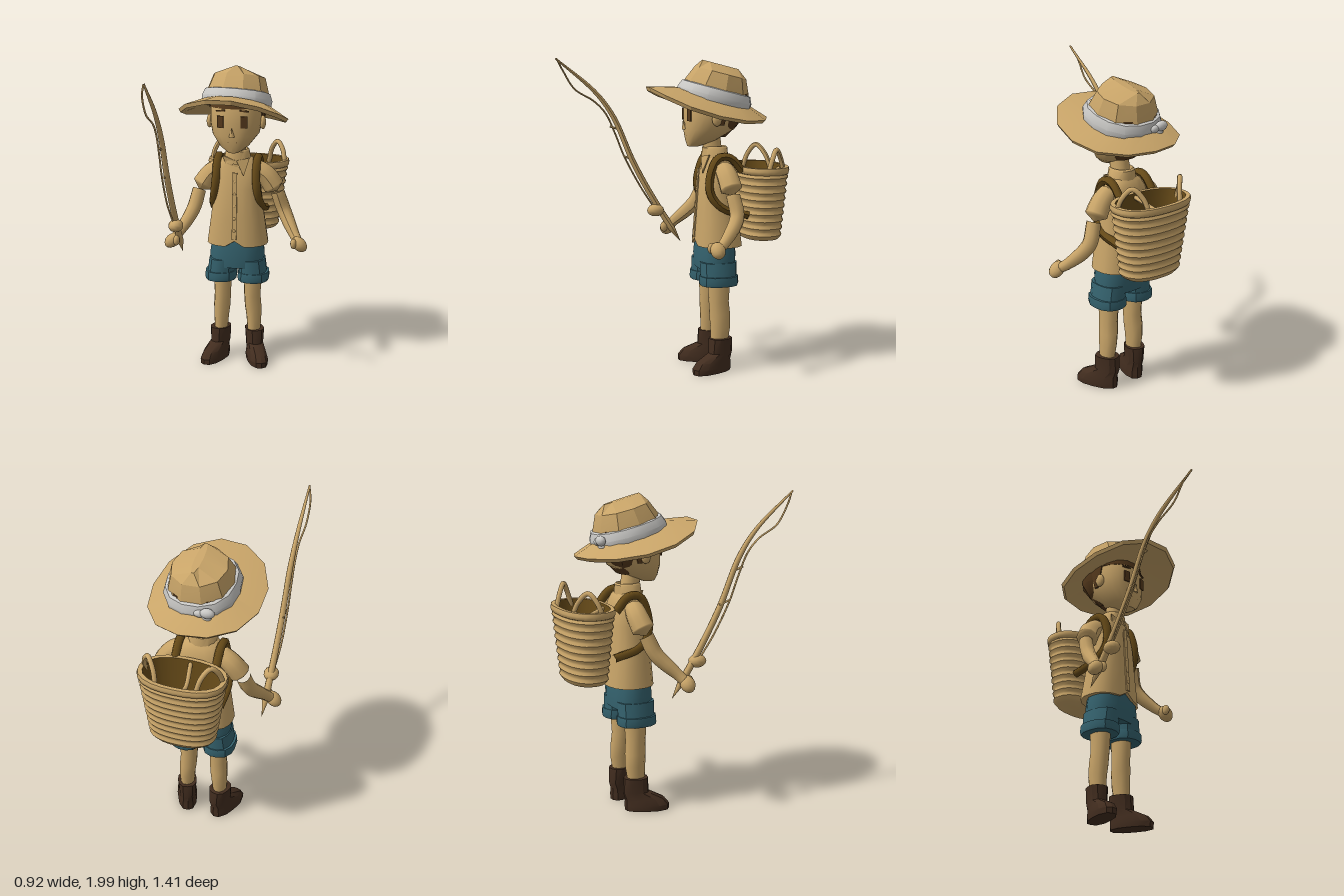
import * as THREE from 'three';
import { toCreasedNormals } from 'three/addons/utils/BufferGeometryUtils.js';

const mat = (name, color) => {
  const m = new THREE.MeshStandardMaterial({ color });
  m.name = name;
  return m;
};

// Skin through rings [y, rx, rz, cx, cz]; a ring of radius 0 closes an end
function loft(rings, n = 16, p = 2.3, crease = 0.6) {
  const at = ([y, rx, rz, cx = 0, cz = 0], j) => {
    const a = (j / n) * Math.PI * 2, c = Math.cos(a), s = Math.sin(a);
    const k = Math.pow(Math.abs(c) ** p + Math.abs(s) ** p, -1 / p);
    return [cx + rx * c * k, y, cz + rz * s * k];
  };
  const v = [];
  for (let i = 0; i < rings.length - 1; i++) for (let j = 0; j < n; j++) {
    const lo = rings[i], hi = rings[i + 1];
    if (lo[1] > 0) v.push(...at(lo, j), ...at(hi, j), ...at(lo, j + 1));
    if (hi[1] > 0) v.push(...at(lo, j + 1), ...at(hi, j), ...at(hi, j + 1));
  }
  const g = new THREE.BufferGeometry();
  g.setAttribute('position', new THREE.Float32BufferAttribute(v, 3));
  return toCreasedNormals(g, crease);
}

// Close both ends of a ring list
const closed = r => [[r[0][0], 0, 0, r[0][3], r[0][4]], ...r, [r.at(-1)[0], 0, 0, r.at(-1)[3], r.at(-1)[4]]];

// Tube along points whose radius follows a list
function limb(points, radii, sides = 10, segs = 24) {
  const curve = new THREE.CatmullRomCurve3(points.map(q => new THREE.Vector3(...q)));
  const g = new THREE.TubeGeometry(curve, segs, 1, sides, false);
  const pos = g.attributes.position, q = new THREE.Vector3();
  for (let i = 0; i < pos.count; i++) {
    const t = Math.floor(i / (sides + 1)) / segs, c = curve.getPointAt(t);
    const f = t * (radii.length - 1), k = Math.min(Math.floor(f), radii.length - 2);
    q.fromBufferAttribute(pos, i).sub(c).multiplyScalar(THREE.MathUtils.lerp(radii[k], radii[k + 1], f - k)).add(c);
    pos.setXYZ(i, q.x, q.y, q.z);
  }
  g.computeVertexNormals();
  return g;
}

export function createModel() {
  const tan = mat('tan', 0xc8a468), grey = mat('light grey', 0xc9c8c5), teal = mat('teal', 0x35636f);
  const boot = mat('boot brown', 0x422d1f), olive = mat('olive brown', 0x664a18), dark = mat('hair brown', 0x55391c);
  const model = new THREE.Group();
  const add = (name, geo, m, pos = [0, 0, 0], parent = model) => {
    const mesh = new THREE.Mesh(geo, m);
    mesh.name = name;
    mesh.position.set(...pos);
    parent.add(mesh);
    return mesh;
  };
  const ball = (name, r, pos, scale, m = tan, parent = model) => {
    const b = add(name, new THREE.SphereGeometry(r, 12, 8), m, pos, parent);
    b.scale.set(...scale);
    return b;
  };
  const X = -0.017; // body centre line

  // Hat, tipped back
  const hat = new THREE.Group();
  hat.name = 'hat';
  hat.position.set(-0.027, 1.725, -0.2);
  hat.rotation.set(-0.25, 0, -0.05);
  model.add(hat);
  const brim = loft([[0.02, 0, 0], [0.02, 0.2, 0.22], [-0.02, 0.335, 0.385], [0.005, 0.348, 0.4], [0.045, 0.22, 0.25, 0, -0.02], [0.06, 0, 0]], 13, 2.15, 0.25);
  const bp = brim.attributes.position;
  for (let i = 0; i < bp.count; i++) bp.setY(i, bp.getY(i) - 0.055 * (bp.getX(i) / 0.35) ** 2);
  add('hatBrim', brim, tan, [0, 0, 0], hat);
  add('hatCrown', loft([[0.02, 0.215, 0.23, 0.005, -0.035], [0.11, 0.197, 0.205, 0.005, -0.035],
    [0.2, 0.168, 0.165, 0.005, -0.035], [0.25, 0.025, 0.125, 0.005, -0.02], [0.25, 0, 0, 0.005, -0.02]], 10, 2.2, 0.2), tan, [0, 0, 0], hat);
  add('hatBand', loft([[0.02, 0.222, 0.238, 0.005, -0.035], [0.055, 0.226, 0.24, 0.005, -0.035],
    [0.1, 0.208, 0.22, 0.005, -0.035], [0.105, 0.19, 0.2, 0.005, -0.035]], 14), grey, [0, 0, 0], hat);
  for (const [x, y, s] of [[-0.1, 0.07, 1], [-0.05, 0.06, 0.75], [-0.09, 0.03, 0.7]])
    ball('bandKnot', 0.04 * s, [x, y, -0.265], [1.1, 0.8, 0.7], grey, hat);

  // Head
  const HX = -0.02;
  add('head', loft(closed([[1.452, 0.035, 0.04, HX, -0.11], [1.49, 0.092, 0.095, HX, -0.155], [1.56, 0.148, 0.16, HX, -0.21],
    [1.64, 0.165, 0.18, HX, -0.232], [1.74, 0.165, 0.18, HX, -0.235], [1.82, 0.14, 0.15, HX, -0.24]]), 24, 2.4, 0.9), tan);
  add('neck', loft(closed([[1.34, 0.068, 0.07, X, -0.245], [1.42, 0.056, 0.058, X, -0.235], [1.53, 0.056, 0.06, X, -0.22]])), tan);
  const nose = add('nose', new THREE.ConeGeometry(0.02, 0.06, 5), tan, [HX, 1.59, -0.046]);
  nose.rotation.x = 0.2;
  for (const s of [-1, 1]) {
    const eye = add('eye', new THREE.BoxGeometry(0.042, 0.075, 0.008), dark, [HX + s * 0.075, 1.652, -0.06]);
    eye.rotation.y = s * 0.25;
    const brow = add('eyebrow', new THREE.BoxGeometry(0.06, 0.01, 0.008), dark, [HX + s * 0.075, 1.722, -0.063]);
    brow.rotation.set(0, s * 0.25, -s * 0.1);
    ball('ear', 0.04, [HX + s * 0.172, 1.63, -0.21], [0.5, 1.1, 0.8]);
    add('sideburn', loft(closed([[1.59, 0.008, 0.015], [1.66, 0.012, 0.035], [1.78, 0.012, 0.06]]), 6), dark, [HX + s * 0.164, 0, -0.245]);
  }
  add('mouth', new THREE.BoxGeometry(0.06, 0.006, 0.006), dark, [HX, 1.523, -0.06]);
  add('backHair', loft(closed([[1.51, 0.07, 0.03, HX, -0.285], [1.58, 0.145, 0.075, HX, -0.305],
    [1.66, 0.176, 0.13, HX, -0.31], [1.78, 0.178, 0.14, HX, -0.31]]), 12), dark);
  add('fringe', loft(closed([[1.735, 0.171, 0.186, HX, -0.235], [1.82, 0.165, 0.17, HX, -0.24]]), 16), dark);

  // Shirt with a notched front hem
  const shirt = loft(closed([[0.82, 0.2, 0.15, X, -0.265], [1.0, 0.175, 0.133, X, -0.26], [1.2, 0.15, 0.118, X, -0.257],
    [1.32, 0.15, 0.095, X, -0.265], [1.375, 0.115, 0.078, X, -0.262], [1.41, 0.06, 0.06, X, -0.25]]), 20, 2.5);
  const sp = shirt.attributes.position;
  for (let i = 0; i < sp.count; i++) {
    const near = 1 - Math.abs(sp.getX(i) - X) / 0.06;
    if (sp.getY(i) < 0.83 && sp.getZ(i) > -0.2 && near > 0) sp.setY(i, 0.82 + 0.04 * near);
  }
  add('shirt', shirt, tan);
  const placket = add('placket', new THREE.BoxGeometry(0.03, 0.44, 0.008), tan, [X, 1.09, -0.126]);
  placket.rotation.x = -0.07;
  for (let i = 0; i < 5; i++) ball('button', 0.01, [X, 0.93 + i * 0.08, -0.112 - i * 0.006], [1, 1, 0.5]);
  add('collarStand', loft([[1.36, 0.095, 0.085, X, -0.25], [1.44, 0.075, 0.08, X, -0.25], [1.45, 0.066, 0.07, X, -0.25], [1.39, 0.06, 0.06, X, -0.25]], 14), tan);
  const flap = new THREE.Shape([[0, 0], [0.085, 0.02], [0.05, -0.1]].map(q => new THREE.Vector2(...q)));
  for (const s of [-1, 1]) {
    const f = add('collarFlap', new THREE.ExtrudeGeometry(flap, { depth: 0.009, bevelEnabled: false }), tan,
      [X + (s > 0 ? 0.005 : -0.005), 1.385, -0.163]);
    f.rotation.set(-0.2, s > 0 ? 0.3 : Math.PI - 0.3, 0);
    if (s < 0) f.rotation.set(0.2, Math.PI - 0.3, 0);
  }

  // Arms: left hangs forward, right reaches to the rod
  const arms = [
    { s: 1, elbow: [0.285, 1.03, -0.3], wrist: [0.365, 0.9, -0.2], hand: [0.405, 0.855, -0.14] },
    { s: -1, elbow: [-0.3, 1.05, -0.2], wrist: [-0.37, 0.92, -0.08], hand: [-0.41, 0.87, -0.04] },
  ];
  for (const { s, elbow, wrist, hand } of arms) {
    const arm = new THREE.Group();
    arm.name = s > 0 ? 'leftArm' : 'rightArm';
    model.add(arm);
    const cuff = [X + s * 0.255, 1.165, s > 0 ? -0.29 : -0.25];
    add('sleeve', limb([[X + s * 0.09, 1.335, -0.265], [X + s * 0.18, 1.275, -0.275], cuff], [0, 0.058, 0.063, 0.066, 0.068, 0.07, 0]), tan, [0, 0, 0], arm);
    add('forearm', limb([cuff, elbow, wrist, hand], [0.045, 0.047, 0.046, 0.042, 0.034, 0.03]), tan, [0, 0, 0], arm);
    const palm = ball('hand', 0.05, hand, [0.85, 1.15, 0.95], tan, arm);
    palm.rotation.z = s * 0.8;
    ball('thumb', 0.026, [hand[0] - s * 0.035, hand[1] + 0.01, hand[2] + 0.03], [0.8, 1.3, 1], tan, arm);
  }

  // Shorts, legs and boots
  add('shortsHips', loft(closed([[0.67, 0.175, 0.118, X, -0.25], [0.76, 0.18, 0.125, X, -0.25], [0.87, 0.165, 0.115, X, -0.25]]), 16, 2.6), teal);
  for (const s of [-1, 1]) {
    const x = X + s * 0.108;
    add('shortsLeg', loft(closed([[0.59, 0.092, 0.115, x, -0.247], [0.72, 0.088, 0.118, x - s * 0.012, -0.247]]), 14, 2.5), teal);
    add('shortsCuff', loft(closed([[0.572, 0.1, 0.12, x, -0.247], [0.59, 0.104, 0.125, x, -0.247], [0.632, 0.102, 0.122, x, -0.247]]), 14, 2.5), teal);
    add('leg', loft(closed([[0.18, 0.042, 0.055, X + s * 0.112, -0.25], [0.3, 0.05, 0.066, X + s * 0.11, -0.258],
      [0.38, 0.056, 0.068, X + s * 0.105, -0.255], [0.46, 0.055, 0.065, X + s * 0.1, -0.25], [0.62, 0.062, 0.075, X + s * 0.1, -0.25]]), 10, 2, 0.9), tan);
    const b = add('boot', loft(closed([[0, 0.062, 0.14, 0, 0.07], [0.035, 0.066, 0.142, 0, 0.07], [0.075, 0.058, 0.125, 0, 0.055],
      [0.12, 0.054, 0.082, 0, 0], [0.215, 0.062, 0.076, 0, 0]]), 12, 2.5, 0.5), boot, [X + s * 0.115, 0.008, -0.257]);
    b.rotation.y = s * 0.38;
  }

  // Ribbed basket, hollow and dark inside
  const basket = new THREE.Group();
  basket.name = 'basket';
  basket.position.set(0.01, 0, -0.54);
  model.add(basket);
  const ribs = 9, wall = [[0.858, 0, 0], [0.858, 0.18, 0.11]];
  for (let i = 0; i < ribs; i++) for (const [o, d] of [[0.12, -0.004], [0.5, 0.006], [0.88, -0.004]]) {
    const t = (i + o) / ribs;
    wall.push([0.865 + t * 0.42, 0.2 + t * 0.062 + d, 0.122 + t * 0.036 + d]);
  }
  wall.push([1.285, 0.268, 0.163], [1.305, 0.273, 0.168], [1.325, 0.268, 0.163], [1.325, 0.24, 0.138]);
  add('basketWall', loft(wall, 24, 2.4, 0.9), tan, [0, 0, 0], basket);
  add('basketInside', loft([[1.325, 0.24, 0.138], [1.05, 0.2, 0.115], [1.05, 0, 0]], 24, 2.4), olive, [0, 0, 0], basket);
  for (const s of [-1, 1]) add('basketHandle', limb([[s * 0.12, 1.28, -0.125], [s * 0.145, 1.38, -0.09], [s * 0.19, 1.435, -0.045],
    [s * 0.23, 1.38, -0.005], [s * 0.245, 1.28, 0.03]], [0.016, 0.016], 8), tan, [0, 0, 0], basket);
  add('basketDivider', limb([[0, 1.3, -0.15], [-0.03, 1.25, -0.05], [0, 1.3, 0.15]], [0.014, 0.014], 8), tan, [0, 0, 0], basket);

  // Shoulder straps
  for (const s of [-1, 1]) {
    const x = X + s * 0.13;
    add('shoulderStrap', limb([[x, 1.3, -0.39], [x, 1.385, -0.31], [x, 1.385, -0.235], [x, 1.28, -0.182], [x + s * 0.012, 1.16, -0.18],
      [x + s * 0.03, 1.07, -0.25], [x + s * 0.03, 1.02, -0.42]], [0.027, 0.027], 6), olive);
  }

  // Fishing rod with reel, guides and slack line
  const rod = new THREE.Group();
  rod.name = 'fishingRod';
  model.add(rod);
  add('rodPole', limb([[-0.36, 0.775, -0.122], [-0.37, 1.065, 0.06], [-0.378, 1.315, 0.195], [-0.384, 1.615, 0.325],
    [-0.387, 1.775, 0.44], [-0.388, 1.998, 0.7]], [0, 0.023, 0.022, 0.021, 0.02, 0.02, 0.019, 0.018, 0.018, 0.016, 0.014, 0.012, 0.009, 0.006], 8, 52), tan, [0, 0, 0], rod);
  ball('reel', 0.048, [-0.365, 0.995, 0.05], [1, 0.85, 1.2], tan, rod);
  add('line', limb([[-0.39, 1.99, 0.69], [-0.41, 1.92, 0.65], [-0.41, 1.8, 0.575], [-0.4, 1.72, 0.45], [-0.4, 1.64, 0.375], [-0.4, 1.5, 0.31],
    [-0.4, 1.36, 0.255], [-0.395, 1.16, 0.15], [-0.38, 1.03, 0.07]], [0.006, 0.006], 5, 48), tan, [0, 0, 0], rod);
  for (const [y, z] of [[1.545, 0.315], [1.345, 0.22]]) {
    const guide = add('lineGuide', new THREE.CylinderGeometry(0.007, 0.007, 0.07, 6), tan, [-0.39, y, z], rod);
    guide.rotation.x = 1.25;
  }
  return model;
}
